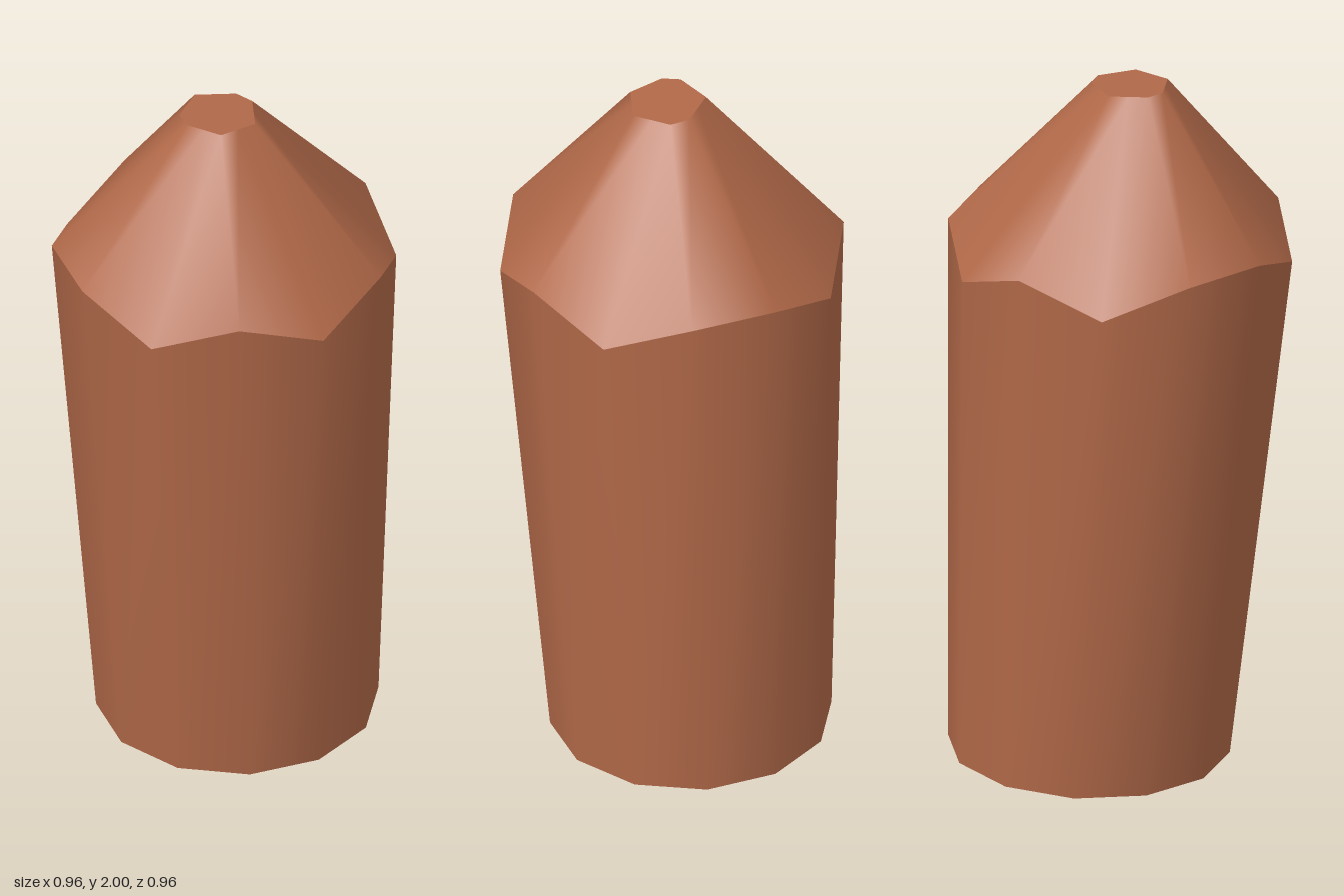
import * as THREE from 'three';

const SIDES = 12;

// Ring of points, starting at the front and turning toward +x
function ring(fn) {
  return Array.from({ length: SIDES }, (_, i) => {
    const a = (i / SIDES) * Math.PI * 2;
    return fn(Math.sin(a), Math.cos(a), i);
  });
}

function build(points, index) {
  const geo = new THREE.BufferGeometry();
  geo.setAttribute('position', new THREE.Float32BufferAttribute(points.flat(), 3));
  geo.setIndex(index);
  geo.computeVertexNormals();
  return geo;
}

// Smooth wall between two rings
function wall(low, high) {
  const index = [];
  for (let i = 0; i < SIDES; i++) {
    const j = (i + 1) % SIDES;
    index.push(i, j, SIDES + j, i, SIDES + j, SIDES + i);
  }
  return build([...low, ...high], index);
}

// Flat fan closing a ring
function cap(points, up) {
  const centre = [0, 1, 2].map(k => points.reduce((s, p) => s + p[k], 0) / SIDES);
  const index = [];
  for (let i = 0; i < SIDES; i++) {
    const j = (i + 1) % SIDES;
    index.push(SIDES, up ? i : j, up ? j : i);
  }
  return build([...points, centre], index);
}

export function createModel() {
  const group = new THREE.Group();
  group.name = 'stake';
  const clay = new THREE.MeshStandardMaterial({ color: 0xb06848 });
  clay.name = 'reddish brown';

  // Base ring: set back and slightly tilted
  const base = ring((s, c) => [0.392 * s, 0.009 - 0.009 * c, -0.087 + 0.392 * c]);

  // Shoulder ring: uneven carved edge
  const low = [0, 2, 4, 7, 9];
  const shoulder = ring((s, c, i) => [0.478 * s, low.includes(i) ? 1.483 : 1.57, 0.478 * c]);

  // Blunt tip outline, x and z; gaps are midpoints of their neighbours
  const corners = {
    1: [0.05, 0.127], 3: [0.11, 0.032], 5: [0.055, -0.067], 6: [0, -0.08],
    8: [-0.1, -0.022], 10: [-0.095, 0.088], 11: [-0.057, 0.124],
  };
  const tip = ring((s, c, i) => {
    const a = corners[i] ?? corners[(i + 11) % SIDES];
    const b = corners[i] ?? corners[(i + 1) % SIDES];
    const x = (a[0] + b[0]) / 2, z = (a[1] + b[1]) / 2;
    return [x, 1.997 - 0.03 * x, z];
  });

  const parts = {
    body: wall(base, shoulder),
    taperedPoint: wall(shoulder, tip),
    tipCap: cap(tip, true),
    baseCap: cap(base, false),
  };
  for (const [name, geo] of Object.entries(parts)) {
    const mesh = new THREE.Mesh(geo, clay);
    mesh.name = name;
    group.add(mesh);
  }
  return group;
}
